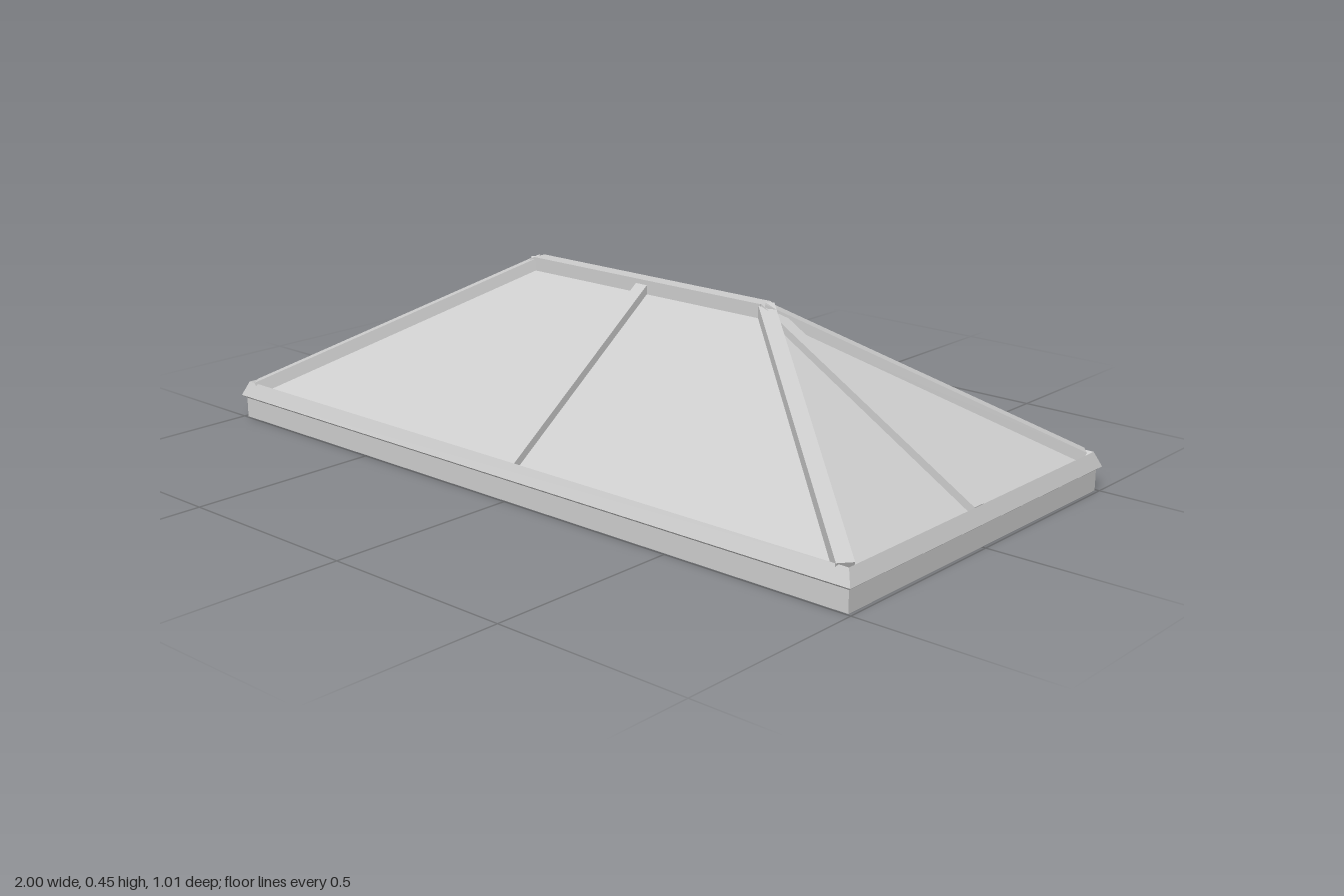
import * as THREE from 'three';

const material = new THREE.MeshStandardMaterial({ color: 0xcccccc, flatShading: true });
const glassMaterial = new THREE.MeshStandardMaterial({
  color: 0xcccccc, flatShading: true, side: THREE.DoubleSide,
});
const V = (x, y, z) => new THREE.Vector3(x, y, z);

function polygons(name, quads, mat) {
  const pos = [];
  for (const q of quads) {
    for (let i = 1; i < q.length - 1; i++) {
      for (const p of [q[0], q[i], q[i + 1]]) pos.push(p.x, p.y, p.z);
    }
  }
  const geo = new THREE.BufferGeometry();
  geo.setAttribute('position', new THREE.Float32BufferAttribute(pos, 3));
  geo.computeVertexNormals();
  const mesh = new THREE.Mesh(geo, mat);
  mesh.name = name;
  return mesh;
}

// Mitred rectangular ring; profile points are [inset, y], running outside-up then inwards
function ring(name, halfX, halfZ, profile) {
  const corners = [[1, 1], [1, -1], [-1, -1], [-1, 1]];
  const at = (c, [d, y]) => V(c[0] * (halfX - d), y, c[1] * (halfZ - d));
  const quads = [];
  corners.forEach((c, i) => {
    const next = corners[(i + 1) % 4];
    profile.forEach((p, j) => {
      const q = profile[(j + 1) % profile.length];
      quads.push([at(c, p), at(next, p), at(next, q), at(c, q)]);
    });
  });
  return polygons(name, quads, material);
}

// Rectangular bar whose top centre line runs from a to b
function bar(name, a, b, width, depth) {
  const dir = b.clone().sub(a);
  const length = dir.length();
  dir.normalize();
  const side = V(0, 1, 0).cross(dir).normalize();
  const up = dir.clone().cross(side);
  const geo = new THREE.BoxGeometry(width, depth, length);
  geo.translate(0, -depth / 2, length / 2);
  geo.applyMatrix4(new THREE.Matrix4().makeBasis(side, up, dir).setPosition(a));
  const mesh = new THREE.Mesh(geo, material);
  mesh.name = name;
  return mesh;
}

export function createModel() {
  const model = new THREE.Group();
  model.name = 'hippedSkylight';

  // Hollow upright curb and the bevelled eave frame on top of it
  model.add(ring('curb', 0.99, 0.495, [[0, 0], [0, 0.065], [0.02, 0.065], [0.02, 0]]));
  model.add(ring('eaveFrame', 1, 0.505,
    [[0.013, 0.05], [0, 0.06], [0.016, 0.097], [0.034, 0.075], [0.04, 0.055]]));

  // Four glazed slopes, set below the tops of the bars
  const apex = (s) => V(s * 0.375, 0.43, 0);
  const foot = (sx, sz) => V(sx * 0.98, 0.07, sz * 0.485);
  for (const s of [1, -1]) {
    model.add(polygons(s > 0 ? 'frontGlass' : 'backGlass',
      [[foot(-s, s), foot(s, s), apex(s), apex(-s)]], glassMaterial));
    model.add(polygons(s > 0 ? 'leftGlass' : 'rightGlass',
      [[foot(s, s), foot(s, -s), apex(s)]], glassMaterial));
  }

  // Ridge, hips and the middle bar of each slope
  model.add(bar('ridge', V(-0.375, 0.45, 0), V(0.375, 0.45, 0), 0.04, 0.035));
  for (const s of [1, -1]) {
    for (const t of [1, -1]) {
      model.add(bar('hipBar', V(s * 0.968, 0.1, t * 0.479), V(s * 0.375, 0.45, 0), 0.04, 0.035));
    }
    model.add(bar('slopeBar', V(0, 0.094, s * 0.483), V(0, 0.447, s * 0.008), 0.036, 0.033));
    model.add(bar('endBar', V(s * 0.978, 0.094, 0), V(s * 0.375, 0.45, 0), 0.036, 0.033));
  }
  return model;
}
